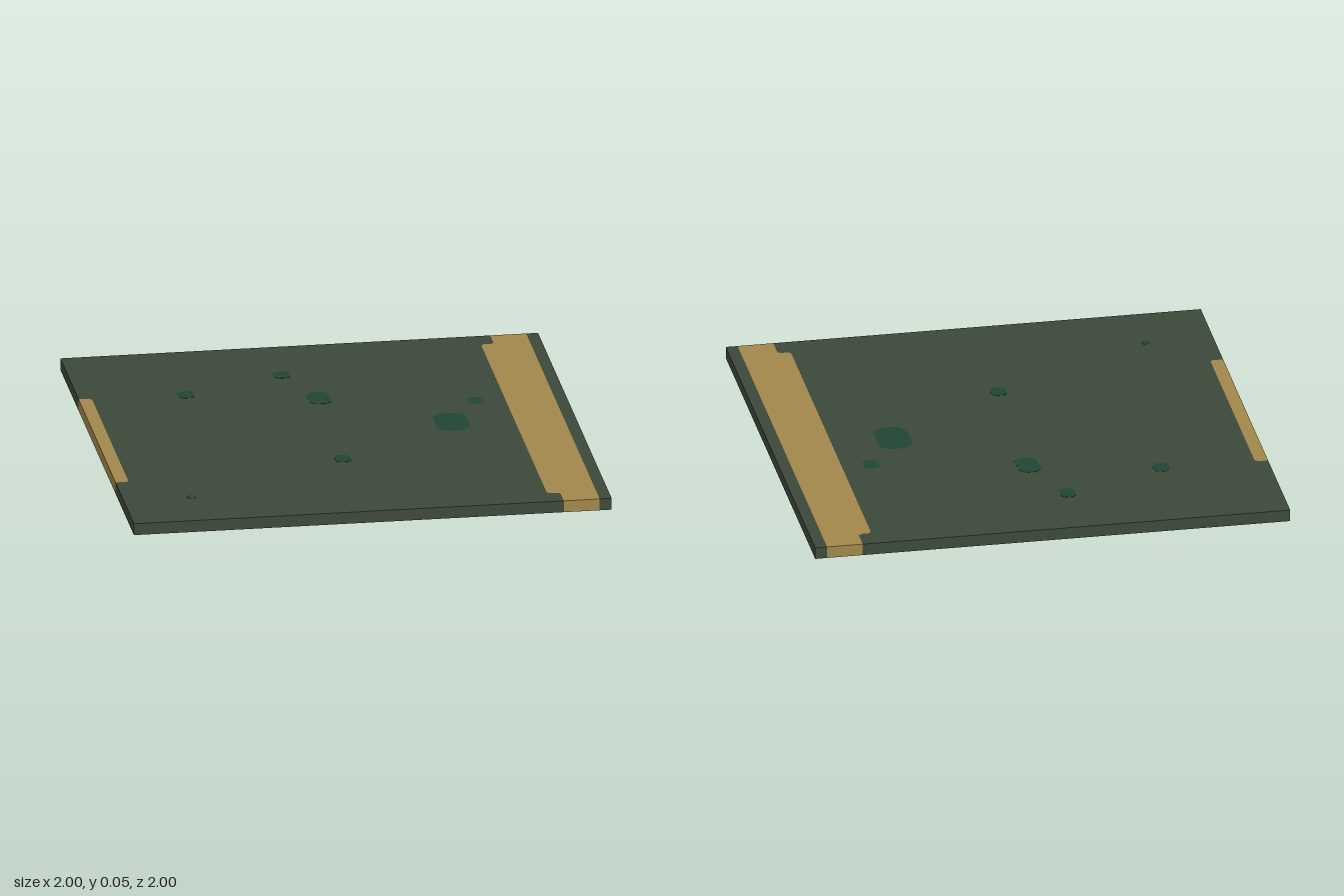
import * as THREE from 'three';

const THICK = 0.05;

// Outline from [x, z] points
function outline(points) {
  return new THREE.Shape(points.map(([x, z]) => new THREE.Vector2(x, -z)));
}

// Rectangle with cut corners, centred on x, z
function spotPoints([x, z, w, d]) {
  const c = Math.min(w, d) * 0.25, a = w / 2, b = d / 2;
  return [
    [x - a + c, z + b], [x + a - c, z + b], [x + a, z + b - c], [x + a, z - b + c],
    [x + a - c, z - b], [x - a + c, z - b], [x - a, z - b + c], [x - a, z + b - c],
  ];
}

// Flat slab standing on y
function slab(name, shape, material, y = 0, height = THICK) {
  const geometry = new THREE.ExtrudeGeometry(shape, { depth: height, bevelEnabled: false });
  geometry.rotateX(-Math.PI / 2);
  const mesh = new THREE.Mesh(geometry, material);
  mesh.name = name;
  mesh.position.y = y;
  return mesh;
}

export function createModel() {
  const group = new THREE.Group();
  group.name = 'groundTile';

  const grass = new THREE.MeshStandardMaterial({ color: 0x3c4a3a });
  grass.name = 'mossGreen';
  const sand = new THREE.MeshStandardMaterial({ color: 0xa2894c });
  sand.name = 'sandTan';
  const shrub = new THREE.MeshStandardMaterial({ color: 0x204636 });
  shrub.name = 'deepGreen';

  // Inner edges shared by the ground and the two sand strips, front to back
  const wideEdge = [
    [0.8, 1], [0.8, 0.91], [0.785, 0.9], [0.755, 0.9], [0.745, 0.885],
    [0.745, -0.885], [0.755, -0.9], [0.785, -0.9], [0.8, -0.91], [0.8, -1],
  ];
  const narrowEdge = [
    [-1, -0.505], [-0.955, -0.505], [-0.945, -0.49],
    [-0.945, 0.49], [-0.955, 0.5], [-1, 0.5],
  ];

  // Patches through the full thickness, and patches on the top only: x, z, width, depth
  const deepSpots = [[0.485, -0.003, 0.14, 0.212], [0.622, -0.24, 0.065, 0.082]];
  const topSpots = [
    [-0.015, -0.367, 0.092, 0.14], [-0.126, -0.665, 0.065, 0.082],
    [-0.552, -0.49, 0.065, 0.082], [-0.028, 0.362, 0.065, 0.082],
    [-0.716, 0.72, 0.034, 0.04],
  ];

  // Ground with openings for the deep patches
  const ground = outline([[-1, 1], ...wideEdge, [-1, -1], ...narrowEdge]);
  ground.holes = deepSpots.map((s) => new THREE.Path(outline(spotPoints(s)).getPoints()));
  group.add(slab('ground', ground, grass));

  // Green border beyond the wide strip
  group.add(slab('borderStrip', outline([[0.95, 1], [1, 1], [1, -1], [0.95, -1]]), grass));

  // Sand strips
  group.add(slab('widePath', outline([[0.95, -1], [0.95, 1], ...wideEdge].reverse()), sand));
  group.add(slab('narrowPath', outline(narrowEdge), sand));

  // Dark patches
  deepSpots.forEach((s) => group.add(slab('deepPatch', outline(spotPoints(s)), shrub)));
  topSpots.forEach((s) => group.add(slab('topPatch', outline(spotPoints(s)), shrub, THICK, 0.001)));

  return group;
}
